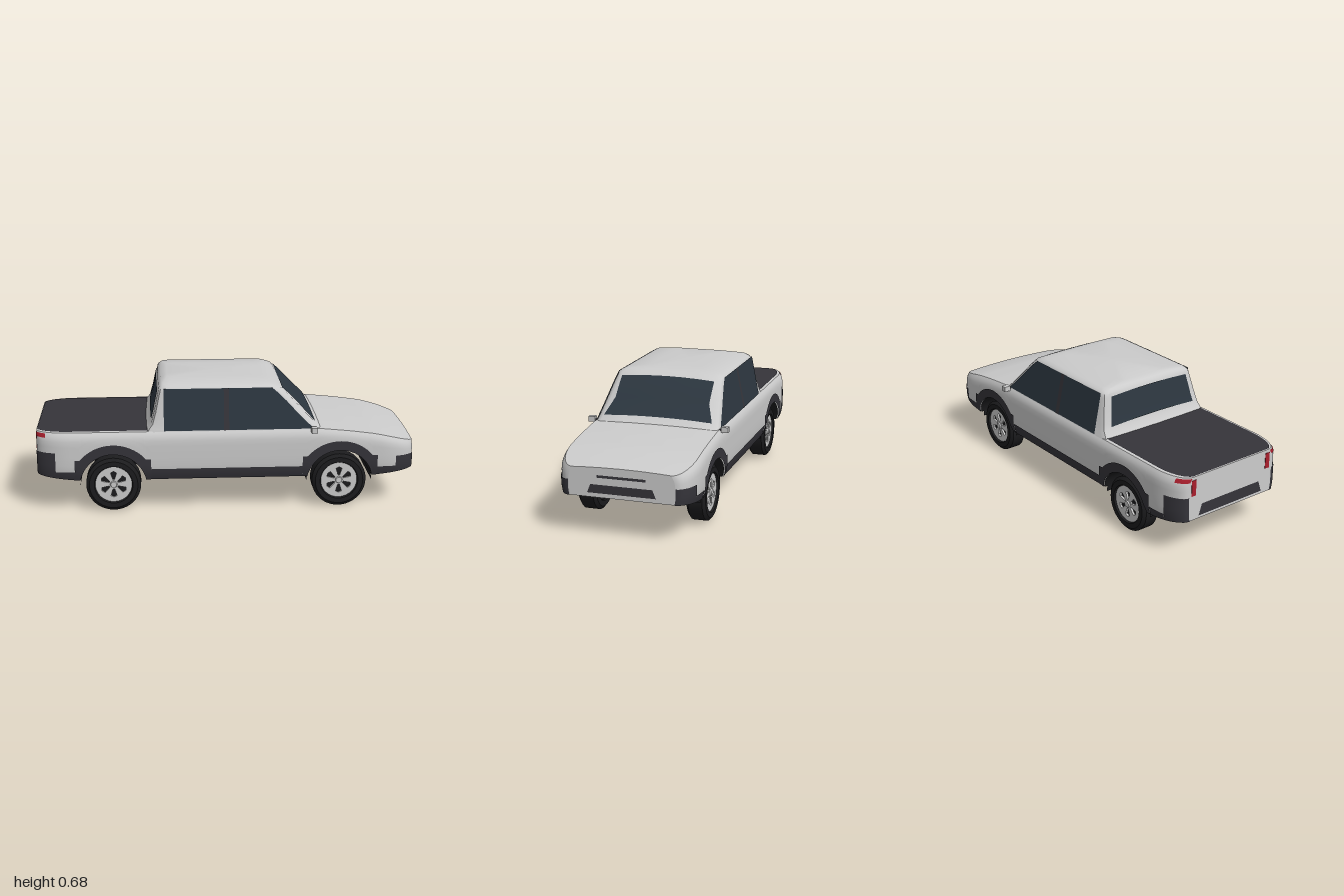
import * as THREE from 'three';
import { toCreasedNormals } from 'three/addons/utils/BufferGeometryUtils.js';

const mat = (color) => new THREE.MeshStandardMaterial({ color, side: THREE.DoubleSide });
const GREY = mat(0xcccccc), TRIM = mat(0x35343a), BLACK = mat(0x1c1c1e), GLASS = mat(0x2c363f), RED = mat(0xa81e2c);
const lerp = THREE.MathUtils.lerp;
const AXLE = 0.6, HUB_Y = 0.145, ARCH_R = 0.175, SILL = 0.175;

// piecewise-linear lookup in [key, value] pairs
function pick(table, k) {
  if (k <= table[0][0]) return table[0][1];
  for (let i = 1; i < table.length; i++) {
    const [a, va] = table[i - 1], [b, vb] = table[i];
    if (k <= b) return lerp(va, vb, (k - a) / (b - a));
  }
  return table[table.length - 1][1];
}

// surface through rows of points
function grid(rows, crease = 0.6) {
  const n = rows[0].length, index = [];
  for (let i = 0; i < rows.length - 1; i++)
    for (let j = 0; j < n - 1; j++) {
      const a = i * n + j, b = a + n;
      index.push(a, b, a + 1, b, b + 1, a + 1);
    }
  const g = new THREE.BufferGeometry();
  g.setAttribute('position', new THREE.Float32BufferAttribute(rows.flat(2), 3));
  g.setIndex(index);
  return toCreasedNormals(g, crease);
}

// Lower body rules: shoulder height, plan half width, bottom edge, side surface
const HOOD = [[-1, 0.435], [0.5, 0.435], [0.65, 0.42], [0.8, 0.4], [0.9, 0.375], [1, 0.345]];
const shoulder = (x) => pick(HOOD, x);
const halfWidth = (x) => 0.27 + 0.083 * Math.sqrt(Math.max(0, 1 - Math.max(0, (Math.abs(x) - 0.82) / 0.18) ** 2));
function bottom(x) {
  const dx = Math.abs(Math.abs(x) - AXLE);
  const base = lerp(SILL, 0.2, Math.max(0, (Math.abs(x) - 0.78) / 0.22));
  return Math.max(base, dx < ARCH_R ? HUB_Y + Math.sqrt(ARCH_R ** 2 - dx ** 2) : 0);
}
function side(x, y) {
  const low = Math.max(0, (0.25 - y) / 0.08), high = Math.max(0, (y - shoulder(x) + 0.05) / 0.05);
  return halfWidth(x) - 0.016 * low ** 2 - 0.02 * high ** 2;
}
function stations() {
  const half = [0, 0.1, 0.2, 0.3, 0.4];
  const a0 = Math.asin((SILL - HUB_Y) / ARCH_R);
  for (let i = 0; i <= 24; i++) half.push(AXLE - ARCH_R * Math.cos(lerp(a0, Math.PI - a0, i / 24)));
  for (let i = 0; i <= 10; i++) half.push(0.82 + 0.18 * Math.sin(i * Math.PI / 20));
  return [...half.slice(1).reverse().map((x) => -x), ...half];
}
const XS = stations();

// band on the body side between two x positions, up to top(x)
function sideBand(x0, x1, top, s, low = bottom, off = 0.004) {
  const xs = [x0, ...XS.filter((x) => x > x0 + 1e-4 && x < x1 - 1e-4), x1];
  return grid(xs.map((x) => [0, 0.25, 0.5, 0.75, 1].map((t) => {
    const y = lerp(low(x), top(x), t);
    return [x + (Math.abs(x) > 0.99 ? Math.sign(x) * 0.002 : 0), y, s * (side(x, y) + off)];
  })));
}

// Cab rules by height: rear x, front x, half width
const REAR = [[0.42, -0.435], [0.445, -0.42], [0.47, -0.402], [0.53, -0.385], [0.6, -0.37], [0.65, -0.358], [0.67, -0.342], [0.68, -0.31]];
const FRONT = [[0.42, 0.53], [0.44, 0.5], [0.53, 0.41], [0.6, 0.345], [0.65, 0.29], [0.67, 0.25], [0.68, 0.2]];
const WIDE = [[0.42, 0.338], [0.44, 0.333], [0.53, 0.315], [0.655, 0.29], [0.67, 0.262], [0.68, 0.15]];
const bow = (z) => 0.12 * z * z;
function cabLevel(y) {
  const r = pick(REAR, y), f = pick(FRONT, y), w = pick(WIDE, y), pts = [];
  const zs = [-1, -0.6, -0.3, 0, 0.3, 0.6, 1].map((t) => t * (w - 0.03));
  zs.forEach((z) => pts.push([f - bow(z), y, z]));
  pts.push([f - 0.028, y, w - 0.008], [f - 0.05, y, w], [r + 0.04, y, w], [r + 0.014, y, w - 0.01]);
  zs.slice().reverse().forEach((z) => pts.push([r + bow(z) * 0.5, y, z]));
  pts.push([r + 0.014, y, -w + 0.01], [r + 0.04, y, -w], [f - 0.05, y, -w], [f - 0.028, y, -w + 0.008], pts[0]);
  return pts;
}

function wheel() {
  const g = new THREE.Group();
  g.name = 'wheel';
  const add = (geo, m, name) => { const o = new THREE.Mesh(geo, m); o.name = name; g.add(o); return o; };
  const tyre = [[0.095, -0.045], [0.1, -0.05], [0.128, -0.05], [0.145, -0.036], [0.145, 0.036], [0.128, 0.05], [0.102, 0.05], [0.095, 0.035], [0.095, -0.045]];
  const tyreGeo = new THREE.LatheGeometry(tyre.map(([r, h]) => new THREE.Vector2(r, h)), 40).rotateX(Math.PI / 2);
  add(toCreasedNormals(tyreGeo, 0.4), BLACK, 'tyre');
  // rim disc with six pairs of cut-outs
  const disc = new THREE.Shape().absarc(0, 0, 0.097, 0, Math.PI * 2);
  for (let i = 0; i < 6; i++) {
    const a = i * Math.PI / 3 + Math.PI / 6;
    const at = (r, d) => new THREE.Vector2(r * Math.cos(a + d), r * Math.sin(a + d));
    disc.holes.push(new THREE.Path([at(0.026, -0.16), at(0.066, -0.25), at(0.072, 0), at(0.066, 0.25), at(0.026, 0.16)]));
  }
  add(new THREE.ExtrudeGeometry(disc, { depth: 0.012, bevelEnabled: false, curveSegments: 20 }), GREY, 'rim').position.z = 0.028;
  add(new THREE.CylinderGeometry(0.096, 0.096, 0.05, 32).rotateX(Math.PI / 2), BLACK, 'brakeDisc').position.z = -0.015;
  add(new THREE.CylinderGeometry(0.016, 0.02, 0.01, 16).rotateX(Math.PI / 2), GREY, 'hubCap').position.z = 0.043;
  return g;
}

export function createModel() {
  const model = new THREE.Group();
  model.name = 'pickupTruck';
  const add = (geo, m, name) => { const o = new THREE.Mesh(geo, m); o.name = name; model.add(o); return o; };

  // Body shell, from one lower edge over the top to the other
  const steps = [0, 0.12, 0.3, 0.5, 0.7, 0.82, 0.9, 0.96, 1];
  const shell = XS.map((x) => {
    const yb = bottom(x), yt = shoulder(x), zt = side(x, yt);
    const crown = x > 0.2 ? 0.008 : 0;
    const left = steps.map((t) => { const y = lerp(yb, yt, t); return [x, y, side(x, y)]; });
    const over = [0.75, 0.4, 0, -0.4, -0.75].map((t) => [x, yt + crown * (1 - t * t), zt * t]);
    return [...left, ...over, ...left.map(([a, b, c]) => [a, b, -c]).reverse()];
  });
  add(grid(shell), GREY, 'bodyShell');
  add(grid(XS.map((x) => [1, -1].map((s) => [x, bottom(x), -s * side(x, bottom(x))]))), BLACK, 'underbody');
  // flat nose and tailgate close the shell
  [[shell[0], 'tailgate'], [shell[shell.length - 1], 'nose']].forEach(([ring, name]) => {
    const outline = [...ring, ring[0]], c = [ring[0][0], 0.28, 0];
    const rows = name === 'nose' ? [outline, outline.map(() => c)] : [outline.map(() => c), outline];
    add(grid(rows), GREY, name);
  });

  // Wheel arch liners and wheels
  [-AXLE, AXLE].forEach((x) => {
    const liner = new THREE.CylinderGeometry(0.174, 0.174, 0.654, 32, 1, true, -Math.PI / 2, Math.PI);
    const mesh = add(liner.rotateX(-Math.PI / 2), BLACK, 'archLiner');
    mesh.position.set(x, HUB_Y, 0);
    [1, -1].forEach((s) => {
      const w = wheel();
      w.position.set(x, HUB_Y, s * 0.289);
      if (s < 0) w.rotation.y = Math.PI;
      model.add(w);
    });
  });

  // Cladding, tail lamps, side glass and mirrors on both sides
  const archTop = (x) => {
    const dx = Math.abs(Math.abs(x) - AXLE);
    return Math.max(0.29, HUB_Y + Math.sqrt(Math.max(0, 0.226 ** 2 - dx ** 2)));
  };
  [1, -1].forEach((s) => {
    add(sideBand(-0.4, 0.4, () => 0.235, s), TRIM, 'sillCladding');
    add(sideBand(-1, -0.9, () => 0.33, s), TRIM, 'rearCornerCladding');
    add(sideBand(0.9, 1, () => 0.28, s), TRIM, 'frontCornerCladding');
    [-1, 1].forEach((e) => {
      add(sideBand(e * AXLE - 0.2, e * AXLE + 0.2, archTop, s, bottom, 0.006), TRIM, 'archCladding');
      add(e < 0 ? sideBand(-0.9, -0.8, () => 0.225, s) : sideBand(0.8, 0.9, () => 0.225, s), TRIM, 'lowerCladding');
    });
    add(sideBand(-1, -0.95, () => 0.43, s, () => 0.41), RED, 'sideTailLamp');
    add(new THREE.BoxGeometry(0.006, 0.085, 0.028), RED, 'rearTailLamp').position.set(-0.999, 0.375, s * 0.245);

    const pane = (x0, x1, off) => grid([0.437, 0.48, 0.53, 0.58, 0.62, 0.653].map((y) =>
      [x0(y), x1(y)].map((x) => [x, y, s * (pick(WIDE, y) + off)])));
    add(pane(() => -0.33, (y) => pick(FRONT, y) - 0.045, 0.003), GLASS, 'sideWindow');
    add(pane(() => -0.015, () => 0.012, 0.005), TRIM, 'doorPillar');

    add(new THREE.BoxGeometry(0.03, 0.028, 0.037), GREY, 'mirror').position.set(0.458, 0.436, s * 0.361);
    add(new THREE.BoxGeometry(0.014, 0.01, 0.03), TRIM, 'mirrorArm').position.set(0.458, 0.432, s * 0.335);
  });

  // Cab with a gently crowned roof
  const levels = [0.42, 0.445, 0.47, 0.5, 0.53, 0.57, 0.6, 0.63, 0.65, 0.66, 0.67, 0.68].map(cabLevel);
  levels.push(levels[0].map(() => [-0.05, 0.684, 0]));
  add(grid(levels.reverse(), 0.7), GREY, 'cab');

  // Windscreen and rear window follow the cab faces
  const screen = (ys, width, xOf) => grid(ys.map((y) =>
    [-1, -0.6, -0.3, 0, 0.3, 0.6, 1].map((t) => { const z = t * width(y); return [xOf(y, z), y + 0.01 * (1 - t * t), z]; })));
  const frontGlass = [[0.465, 0.293], [0.545, 0.256], [0.642, 0.254]];
  add(screen([0.465, 0.5, 0.53, 0.545, 0.58, 0.61, 0.642], (y) => pick(frontGlass, y),
    (y, z) => pick(FRONT, y + 0.01 * (1 - (z / pick(frontGlass, y)) ** 2)) - bow(z) + 0.005), GLASS, 'windscreen');
  add(screen([0.485, 0.53, 0.58, 0.635], (y) => lerp(0.275, 0.25, (y - 0.485) / 0.15),
    (y, z) => pick(REAR, y) + bow(z) * 0.5 - 0.004), GLASS, 'rearWindow');

  // Bed cover inside the rim
  const bedXs = [-0.996, ...XS.filter((x) => x > -0.995 && x < -0.42), -0.4];
  add(grid(bedXs.map((x) => [-1, 1].map((t) => [x, 0.438, t * (side(x, 0.435) - 0.014)]).reverse())), TRIM, 'bedCover');

  // Front grille slot, lower intake and rear bumper panel
  const plate = (x, y0, y1, z0, z1, name) =>
    add(grid([[[x, y0, -z0], [x, y0, z0]], [[x, y1, -z1], [x, y1, z1]]]), TRIM, name);
  plate(1.002, 0.3, 0.313, 0.125, 0.125, 'grilleSlot');
  plate(1.002, 0.222, 0.265, 0.175, 0.158, 'lowerIntake');
  plate(-1.002, 0.215, 0.275, 0.21, 0.19, 'rearBumperPanel');
  return model;
}
